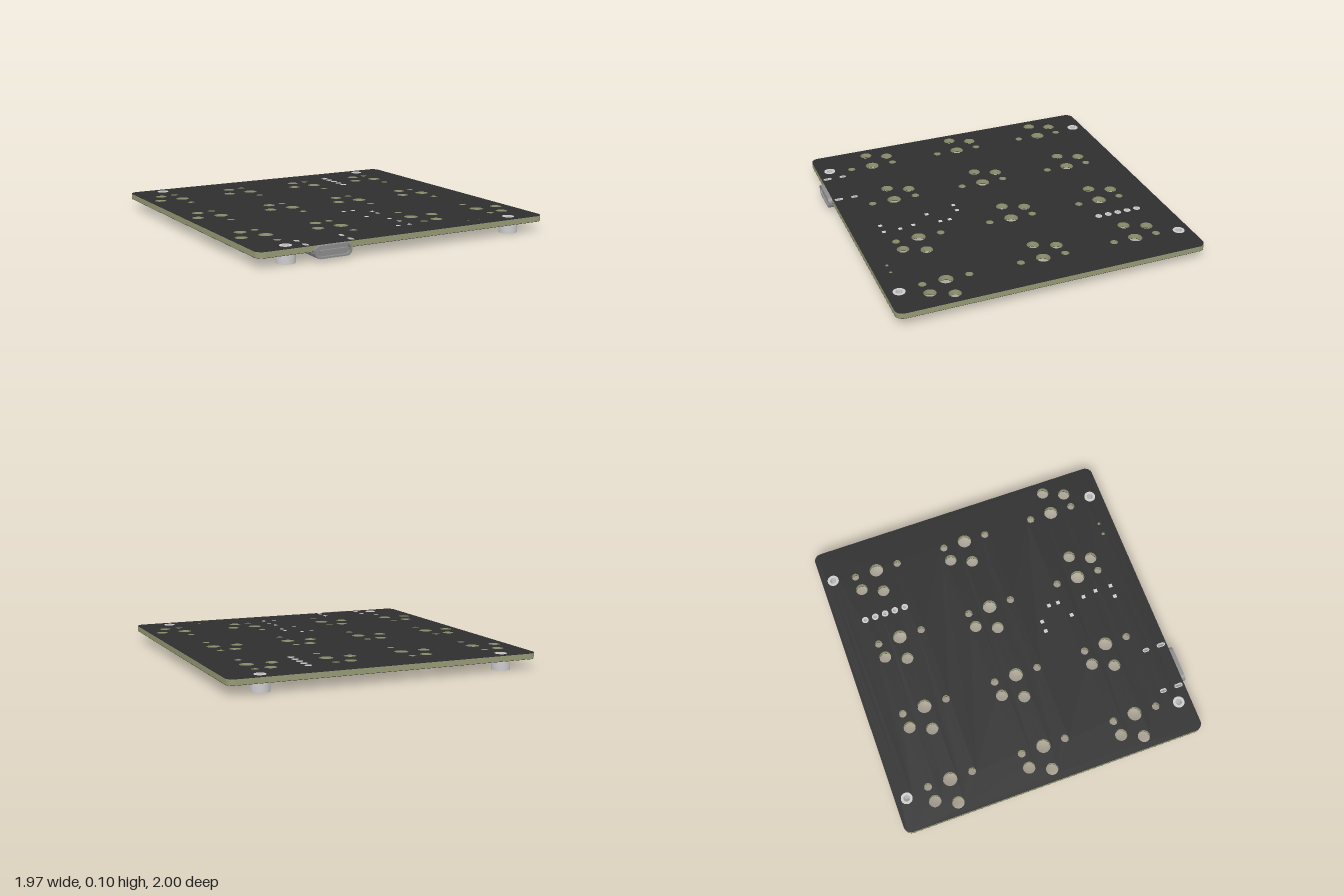
import * as THREE from 'three';
import { toCreasedNormals } from 'three/addons/utils/BufferGeometryUtils.js';

const mat = (color) => new THREE.MeshStandardMaterial({ color });
const M = {
  mask: mat(0x2e2e2e), core: mat(0x969a74), metal: mat(0xcccccc), steel: mat(0x8c8c8c),
  pad: mat(0x585858), black: mat(0x1c1c1c), tan: mat(0xa08560),
};
const TOP = 0.097, BOTTOM = 0.06;

function add(parent, name, geometry, material, x = 0, y = 0, z = 0) {
  const mesh = new THREE.Mesh(geometry, material);
  mesh.name = name;
  mesh.position.set(x, y, z);
  parent.add(mesh);
  return mesh;
}
const box = (parent, name, material, w, h, d, x, y, z) =>
  add(parent, name, new THREE.BoxGeometry(w, h, d), material, x, y, z);

// Rounded rectangle centred on cx, cy
function roundRect(target, w, h, r, cx = 0, cy = 0) {
  const x = w / 2 - r, y = h / 2 - r;
  target.absarc(cx + x, cy + y, r, 0, Math.PI / 2);
  target.absarc(cx - x, cy + y, r, Math.PI / 2, Math.PI);
  target.absarc(cx - x, cy - y, r, Math.PI, Math.PI * 1.5);
  target.absarc(cx + x, cy - y, r, Math.PI * 1.5, Math.PI * 2);
  target.closePath();
  return target;
}

// Plan shape drawn in (x, z), extruded downwards from y = top
function slab(shape, depth, curveSegments = 14) {
  const g = new THREE.ExtrudeGeometry(shape, { depth, bevelEnabled: false, curveSegments });
  return toCreasedNormals(g.rotateX(Math.PI / 2), 0.6);
}

// Turned part with a bore; points run [radius, y] around a closed section
const turned = (pts, segments) => toCreasedNormals(
  new THREE.LatheGeometry(pts.map(([r, y]) => new THREE.Vector2(r, y)), segments), 0.6);

// Key positions: the two front keys on the left side are turned half round
const keys = [];
[-0.635, -0.016, 0.602].forEach((z, row) => [-0.752, -0.251, 0.249, 0.75].forEach((x, col) =>
  keys.push({ x, z, s: row === 2 && col > 1 ? -1 : 1 })));
const mounts = [[-0.776, -0.926], [0.774, -0.926], [-0.776, 0.894], [0.774, 0.894]];
const header = [-0.81, -0.742, -0.675, -0.608, -0.54].map((z) => [0.436, z]);
const usbX = -0.527;
const tabs = [];
for (const s of [-1, 1]) tabs.push([usbX + s * 0.146, 0.832, 0.044], [usbX + s * 0.146, 0.936, 0.056]);

function boardShape() {
  const shape = roundRect(new THREE.Shape(), 1.974, 1.974, 0.05, 0, -0.013);
  const hole = (x, z, r) => shape.holes.push(new THREE.Path().absarc(x, z, r, 0, Math.PI * 2, true));
  for (const { x, z, s } of keys) {
    hole(x, z, 0.045);
    hole(x, z - 0.145, 0.025);
    hole(x, z + 0.145, 0.025);
    hole(x - s * 0.156, z, 0.039);
    hole(x - s * 0.1, z - s * 0.132, 0.039);
  }
  mounts.forEach(([x, z]) => hole(x, z, 0.037));
  header.forEach(([x, z]) => hole(x, z, 0.022));
  hole(0.484, 0.878, 0.011);
  hole(0.563, 0.878, 0.011);
  tabs.forEach(([x, z, l]) => shape.holes.push(roundRect(new THREE.Path(), 0.026, l, 0.0129, x, z)));
  return shape;
}

// Small chip part with two metal ends; turned = long side along z
function chipPart(parent, x, z, turnedRound, bodyMat, size = 0.026) {
  const g = new THREE.Group();
  g.name = 'smallComponent';
  const w = size * 0.55;
  box(g, 'componentBody', bodyMat, size * 0.6, w, w, 0, -w / 2, 0);
  for (const s of [-1, 1]) box(g, 'componentEnd', M.metal, size * 0.22, w * 1.05, w * 1.05, s * size * 0.4, -w / 2, 0);
  g.position.set(x, BOTTOM, z);
  if (turnedRound) g.rotation.y = Math.PI / 2;
  parent.add(g);
}

function connector() {
  const g = new THREE.Group();
  g.name = 'portConnector';
  const along = (shape, depth) => toCreasedNormals(
    new THREE.ExtrudeGeometry(shape, { depth, bevelEnabled: false, curveSegments: 12 }), 0.6);
  const shell = roundRect(new THREE.Shape(), 0.236, 0.075, 0.034);
  shell.holes.push(roundRect(new THREE.Path(), 0.216, 0.056, 0.026));
  add(g, 'portShell', along(shell, 0.19), M.steel, 0, 0, -0.19);
  add(g, 'portInnerWall', along(roundRect(new THREE.Shape(), 0.22, 0.06, 0.028), 0.16), M.steel, 0, 0, -0.182);
  box(g, 'portTongue', M.steel, 0.17, 0.018, 0.03, 0, 0, -0.02);
  g.position.set(usbX, 0.0575, 1);
  return g;
}

export function createModel() {
  const model = new THREE.Group();
  model.name = 'keypadCircuitBoard';

  // Board: pale core between two dark mask layers
  const shape = boardShape();
  add(model, 'boardCore', slab(shape, TOP - BOTTOM - 0.004), M.core, 0, TOP - 0.002, 0);
  add(model, 'maskTop', slab(shape, 0.002), M.mask, 0, TOP, 0);
  add(model, 'maskBottom', slab(shape, 0.002), M.mask, 0, BOTTOM + 0.002, 0);

  // Threaded standoffs, necked into the board
  const standoff = turned([[0.02, 0], [0.057, 0], [0.057, 0.06], [0.037, 0.06],
    [0.037, 0.098], [0.02, 0.098], [0.02, 0]], 32);
  mounts.forEach(([x, z]) => add(model, 'standoff', standoff, M.metal, x, 0, z));

  // Plated header holes
  const plating = turned([[0.011, 0.059], [0.022, 0.059], [0.022, 0.098], [0.011, 0.098], [0.011, 0.059]], 20);
  header.forEach(([x, z]) => add(model, 'headerHole', plating, M.metal, x, 0, z));

  // Connector with plated slots and anchoring tabs
  model.add(connector());
  for (const [x, z, l] of tabs) {
    const ring = roundRect(new THREE.Shape(), 0.026, l, 0.0129);
    ring.holes.push(roundRect(new THREE.Path(), 0.014, l - 0.012, 0.0069));
    add(model, 'tabSlot', slab(ring, 0.039, 6), M.metal, x, 0.098, z);
    box(model, 'anchorTab', M.steel, 0.008, 0.04, l - 0.018, x, 0.074, z);
    box(model, 'anchorFoot', M.steel, 0.05, 0.006, l - 0.018, x + (x < usbX ? 0.022 : -0.022), 0.055, z);
  }

  // Socket pads and diode pads under each key
  for (const { x, z, s } of keys) {
    box(model, 'socketPad', M.pad, 0.068, 0.002, 0.068, x - s * 0.156, BOTTOM - 0.0005, z + s * 0.086);
    box(model, 'socketPad', M.pad, 0.068, 0.002, 0.068, x - s * 0.1, BOTTOM - 0.0005, z - s * 0.218);
  }
  for (const [x, z] of [[-0.53, 0.31], [0.93, 0.32]]) {
    for (const i of [-1, 0, 1]) box(model, 'contactPad', M.pad, 0.07, 0.002, 0.018, x, BOTTOM - 0.0005, z + i * 0.045);
  }

  // Test points on the top face
  const points = [[-0.037, 0.27], [0.032, 0.27], [0.122, 0.352], [0.122, 0.415], [0.011, 0.468],
    [0.103, 0.587], [0.116, 0.677], [0.037, 0.783], [0.116, 0.783]];
  points.forEach(([x, z]) => box(model, 'testPoint', M.metal, 0.024, 0.002, 0.024, x, TOP, z));

  // Main processor with edge contacts
  box(model, 'processor', M.black, 0.18, 0.022, 0.18, 0, 0.048, 0.66);
  for (let i = 0; i < 14; i++) {
    const t = (i - 6.5) * 0.0115;
    box(model, 'processorContacts', M.metal, 0.188, 0.004, 0.005, 0, 0.058, 0.66 + t);
    box(model, 'processorContacts', M.metal, 0.005, 0.004, 0.188, t, 0.058, 0.66);
  }

  // Voltage regulator, memory and crystal
  box(model, 'regulator', M.black, 0.042, 0.038, 0.07, 0.1, 0.039, 0.395);
  for (const i of [-1, 0, 1]) box(model, 'regulatorLegs', M.metal, 0.075, 0.006, 0.01, 0.1, 0.056, 0.395 + i * 0.025);
  box(model, 'memoryChip', M.black, 0.1, 0.02, 0.08, -0.02, 0.05, 0.44);
  for (let i = 0; i < 4; i++) box(model, 'memoryLegs', M.metal, 0.13, 0.004, 0.009, -0.02, 0.058, 0.412 + i * 0.019);
  box(model, 'crystal', M.metal, 0.05, 0.02, 0.065, -0.13, 0.05, 0.53);

  // Capacitors and resistors around the processor
  for (let i = 0; i < 5; i++) {
    const t = (i - 2) * 0.042;
    chipPart(model, -0.135, 0.68 + t, false, M.tan);
    chipPart(model, 0.13, 0.66 + t, false, i % 2 ? M.tan : M.black);
    chipPart(model, t, 0.79, true, M.tan);
    chipPart(model, t, 0.535, true, i % 2 ? M.black : M.tan);
  }
  for (const [x, z] of [[-0.04, 0.35], [0.03, 0.35], [0.15, 0.33], [0.06, 0.31]]) chipPart(model, x, z, true, M.tan, 0.036);

  // Small parts by the front edge
  for (let i = 0; i < 5; i++) box(model, 'contactPad', M.pad, 0.02, 0.002, 0.03, 0.42 + i * 0.04, BOTTOM - 0.0005, 0.83);
  return model;
}
